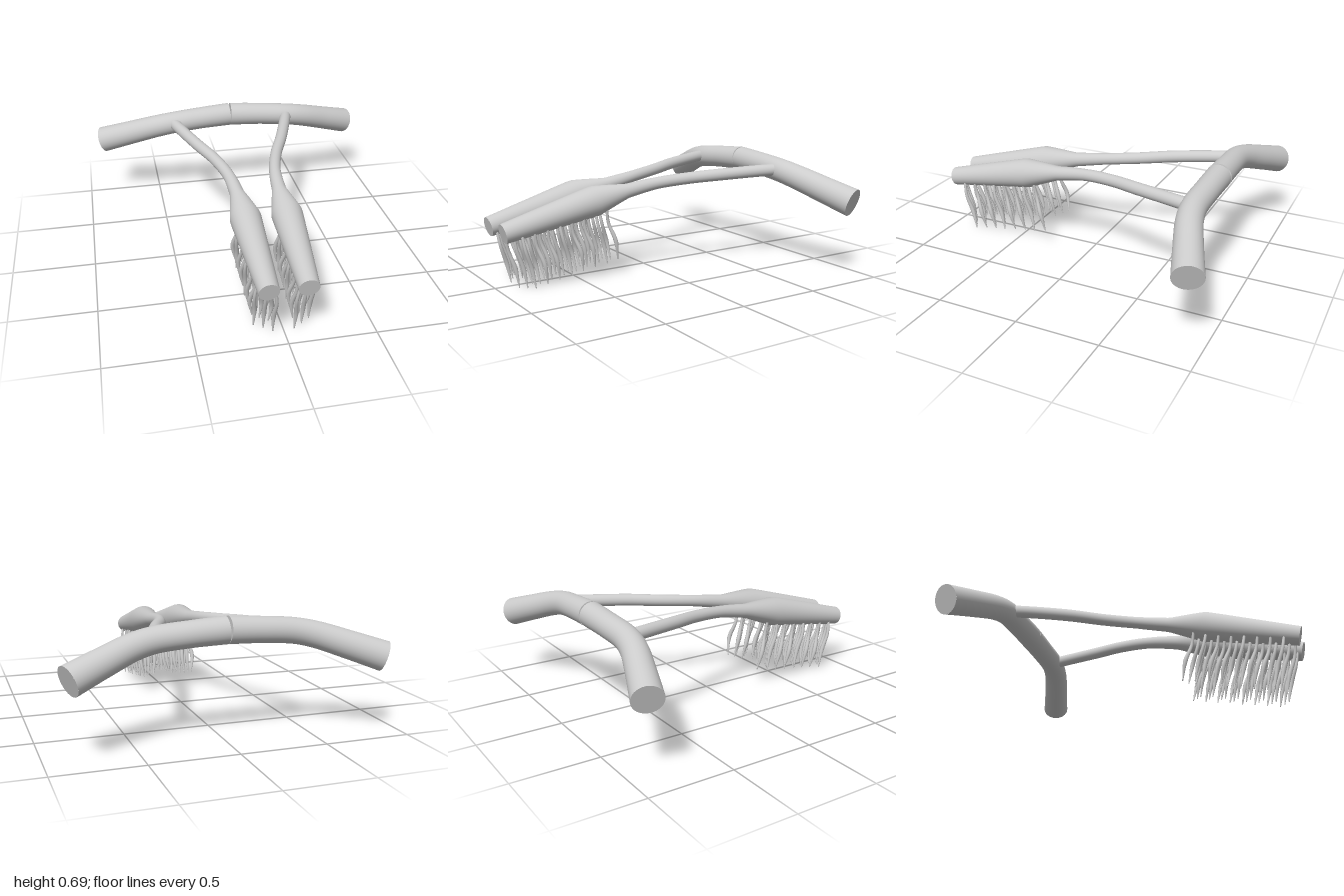
import * as THREE from 'three';
import { mergeGeometries } from 'three/addons/utils/BufferGeometryUtils.js';

const grey = new THREE.MeshStandardMaterial({ color: 0xcccccc });
grey.name = 'grey';

// Capped tube through rows of [x, y, z, radius]; side = -1 mirrors it in x
function taperedTube(rows, side, steps, sides) {
  const curve = new THREE.CatmullRomCurve3(rows.map(([x, y, z]) => new THREE.Vector3(side * x, y, z)));
  const tube = new THREE.TubeGeometry(curve, steps, 1, sides, false);
  const pos = tube.attributes.position;
  const v = new THREE.Vector3();
  const ends = [];
  for (let i = 0; i <= steps; i++) {
    const u = i / steps;
    const centre = curve.getPointAt(u);
    const t = curve.getUtoTmapping(u) * (rows.length - 1);
    const k = Math.min(Math.floor(t), rows.length - 2);
    const radius = THREE.MathUtils.lerp(rows[k][3], rows[k + 1][3], t - k);
    for (let j = 0; j <= sides; j++) {
      const n = i * (sides + 1) + j;
      v.fromBufferAttribute(pos, n).sub(centre).multiplyScalar(radius).add(centre);
      pos.setXYZ(n, v.x, v.y, v.z);
    }
    if (i === 0 || i === steps) ends.push([centre, radius, curve.getTangentAt(u).multiplyScalar(i ? 1 : -1)]);
  }
  // Flat end discs
  const caps = ends.map(([centre, radius, normal]) => {
    const disc = new THREE.CircleGeometry(radius, sides);
    disc.applyQuaternion(new THREE.Quaternion().setFromUnitVectors(new THREE.Vector3(0, 0, 1), normal));
    return disc.translate(centre.x, centre.y, centre.z);
  });
  return mergeGeometries([tube, ...caps]);
}

function addMesh(parent, name, geometry) {
  const mesh = new THREE.Mesh(geometry, grey);
  mesh.name = name;
  parent.add(mesh);
}

const BAR = [
  [0.003, 0.623, -0.78, 0.076], [0.2, 0.612, -0.775, 0.073], [0.4, 0.593, -0.772, 0.073],
  [0.52, 0.567, -0.792, 0.075], [0.7, 0.508, -0.853, 0.08], [0.875, 0.448, -0.918, 0.086],
];
const STALK = [
  [0.395, 0.6, -0.75, 0.038], [0.365, 0.597, -0.65, 0.037], [0.28, 0.583, -0.4, 0.037],
  [0.2, 0.566, -0.2, 0.036], [0.147, 0.545, 0, 0.036], [0.128, 0.513, 0.2, 0.044],
  [0.122, 0.473, 0.42, 0.092], [0.115, 0.41, 0.7, 0.075], [0.108, 0.345, 0.983, 0.058],
];

export function createModel() {
  const model = new THREE.Group();
  model.name = 'model';
  for (const side of [1, -1]) {
    const label = side > 0 ? 'left' : 'right';
    addMesh(model, label + 'Bar', taperedTube(BAR, side, 48, 32));
    addMesh(model, label + 'StalkAndBulb', taperedTube(STALK, side, 80, 32));

    // Three columns of wavy filaments under each bulb
    const filaments = new THREE.Group();
    filaments.name = label + 'Filaments';
    for (let row = 0; row < 8; row++) {
      for (let col = -1; col <= 1; col++) {
        const z = 0.92 - row * 0.076 - col * 0.03;
        const y = 0.29 + (0.98 - z) * 0.18;
        const x = 0.122 - (z - 0.42) * 0.025 + col * 0.042;
        const sway = 0.012 * Math.sin(row * 2.1 + col * 1.7);
        addMesh(filaments, 'filament', taperedTube([
          [x, y + 0.03, z, 0.008], [x + sway, y - 0.06, z - 0.015, 0.01],
          [x + col * 0.01 - sway * 0.5, y - 0.17, z - 0.052, 0.014],
          [x + sway * 0.5, y - 0.288, z - 0.075, 0.003],
        ], side, 14, 8));
      }
    }
    model.add(filaments);
  }
  return model;
}
